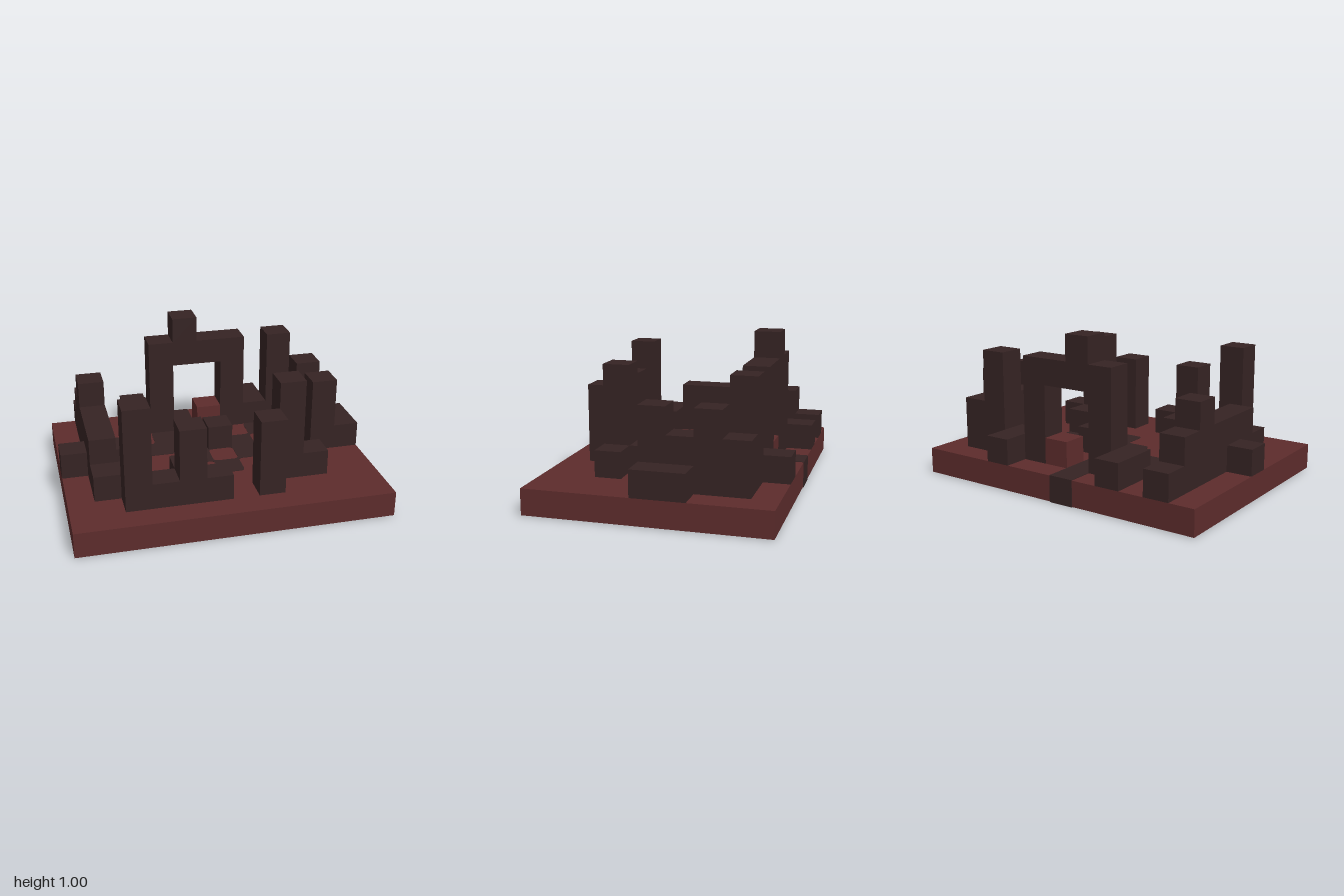
import * as THREE from 'three';
import { mergeGeometries } from 'three/addons/utils/BufferGeometryUtils.js';

const U = 1 / 6; // one block
const R = 0.032; // corner radius of the floor inlay
const EPS = 0.003;

// Block columns: [column, row, height], columns run along +x, rows along +z
const COLUMNS = [
  [1, 0, 2], [3, 0, 2], [8, 0, 2],
  [1, 1, 3], [3, 1, 2], [8, 1, 2], [9, 1, 5], [10, 1, 3],
  [1, 2, 4], [10, 2, 4],
  [1, 3, 3], [6, 3, 2], [10, 3, 3], [11, 3, 2],
  [0, 4, 2], [1, 4, 3], [2, 4, 2], [10, 4, 4], [11, 4, 2],
  [1, 5, 3], [8, 5, 2],
  [1, 6, 2], [2, 6, 2], [4, 6, 2], [8, 6, 5], [9, 6, 2],
  [2, 7, 5], [3, 7, 2], [4, 7, 4], [5, 7, 2], [7, 7, 4],
];
// Cells of the dark pool set into the floor
const POOL = [
  [5, 0], [5, 1], [4, 2], [5, 2], [8, 2], [3, 3], [4, 3], [5, 3],
  [7, 3], [9, 3], [5, 4], [7, 4], [8, 4], [6, 5],
];
const CORE = [6, 3];

const px = (i) => -1 + i * U;
const pz = (j) => -0.75 + j * U;

// Box spanning block coordinates
function block(i0, j0, k0, i1, j1, k1) {
  const g = new THREE.BoxGeometry((i1 - i0) * U, (k1 - k0) * U, (j1 - j0) * U);
  return g.translate(px((i0 + i1) / 2), ((k0 + k1) / 2) * U, pz((j0 + j1) / 2));
}

// Pool cells with rounded outer corners, and fillets in the inner corners
function poolGeometry() {
  const keys = new Set([...POOL, CORE].map((c) => c.join()));
  const filled = (i, j) => keys.has([i, Math.max(j, 0)].join());
  const shapes = [];
  const corners = [[-1, -1], [1, -1], [1, 1], [-1, 1]];
  for (const [i, j] of POOL) {
    const s = new THREE.Shape();
    corners.forEach(([dx, dz], n) => {
      const x = px(i + (dx + 1) / 2);
      const z = pz(j + (dz + 1) / 2) - (j === 0 && dz < 0 ? EPS : 0);
      const round = !filled(i + dx, j) && !filled(i, j + dz) && !filled(i + dx, j + dz);
      const a = [x, -(z - dz * R)];
      const b = [x - dx * R, -z];
      const [from, to] = n % 2 ? [b, a] : [a, b];
      const go = (p) => (n === 0 ? s.moveTo(...p) : s.lineTo(...p));
      if (round) {
        go(from);
        s.quadraticCurveTo(x, -z, ...to);
      } else go([x, -z]);
    });
    s.closePath();
    shapes.push(s);
  }
  for (let i = 0; i < 12; i++) for (let j = 0; j < 9; j++) {
    if (filled(i, j)) continue;
    for (const [dx, dz] of corners) {
      if (!filled(i + dx, j) || !filled(i, j + dz)) continue;
      const x = px(i + (dx + 1) / 2), z = pz(j + (dz + 1) / 2);
      const s = new THREE.Shape();
      s.moveTo(x, -z);
      s.lineTo(x - dx * R, -z);
      s.quadraticCurveTo(x, -z, x, -(z - dz * R));
      s.closePath();
      shapes.push(s);
    }
  }
  const g = new THREE.ExtrudeGeometry(shapes, { depth: U + EPS, bevelEnabled: false, curveSegments: 5 });
  return g.rotateX(-Math.PI / 2);
}

export function createModel() {
  const red = new THREE.MeshStandardMaterial({ color: 0x5d2c2c });
  red.name = 'darkRed';
  const dark = new THREE.MeshStandardMaterial({ color: 0x352323 });
  dark.name = 'darkBrown';
  const gold = new THREE.MeshStandardMaterial({ color: 0x8f6b30 });
  gold.name = 'gold';

  const model = new THREE.Group();
  model.name = 'ruinedCourtyard';
  const add = (name, geometry, material) => {
    const mesh = new THREE.Mesh(geometry, material);
    mesh.name = name;
    model.add(mesh);
  };

  // Floor slab, raised a hair so the inlays show underneath
  const slab = new THREE.BoxGeometry(2, U - EPS, 1.5).translate(0, (U + EPS) / 2, 0);
  add('floorSlab', slab, red);
  add('floorPool', poolGeometry(), dark);
  add('floorCore', block(6, 3, 0, 7, 4, 0.9), gold);

  // Broken walls and pillars
  add('wallsAndPillars', mergeGeometries(COLUMNS.map(([i, j, h]) => block(i, j, 1, i + 1, j + 1, h))), dark);

  // Gateway: two posts, a lintel, a cap and a step between the posts
  add('gatewayPosts', mergeGeometries([4, 7].map((i) => block(i, 1, 1, i + 1, 2, 4))), dark);
  add('gatewayLintel', block(4, 1, 4, 8, 2, 5), dark);
  add('gatewayCap', block(5, 1, 5, 6, 2, 6), dark);
  add('gatewayStep', block(6, 1, 1, 7, 2, 2), red);

  return model;
}
